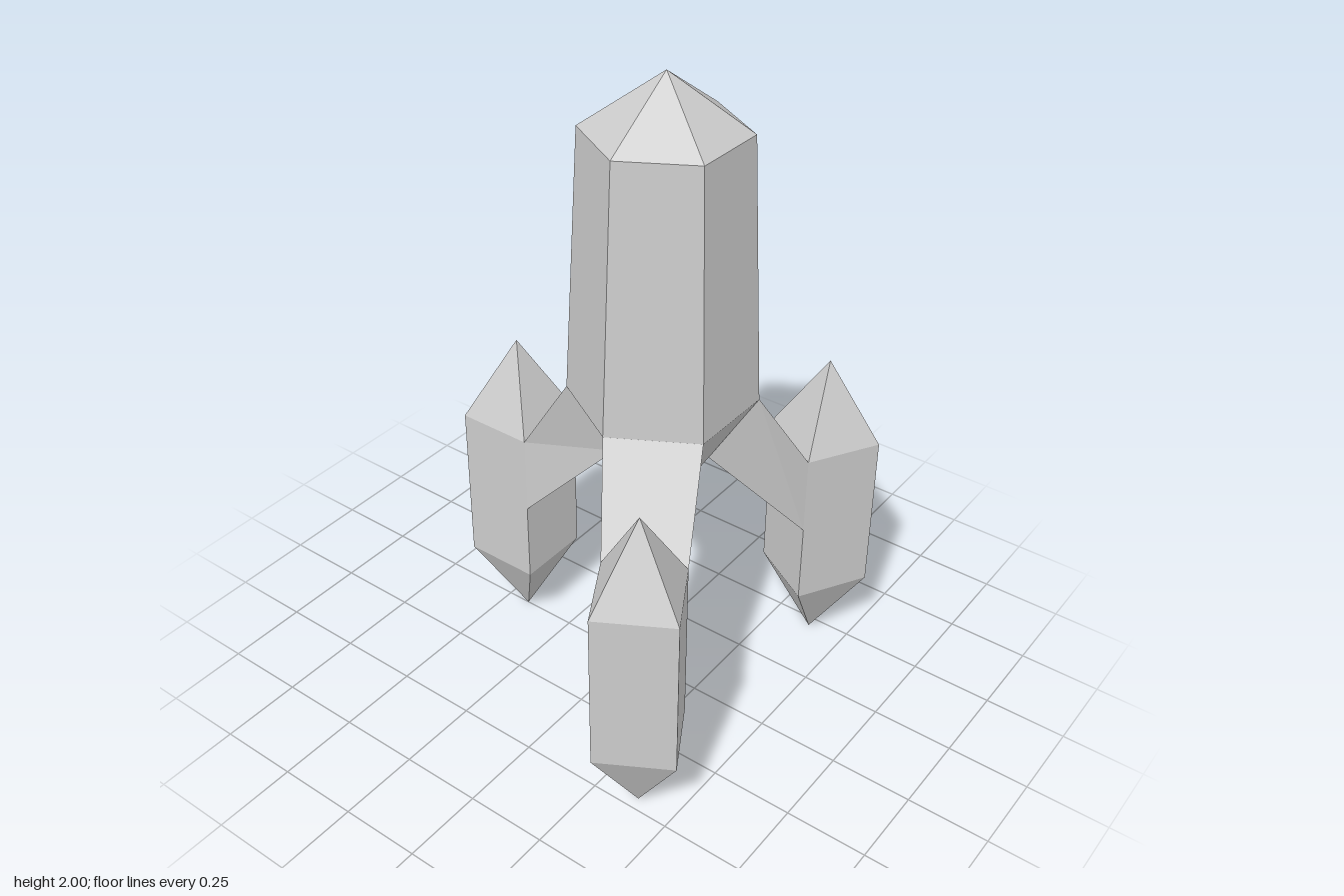
import * as THREE from 'three';

const material = new THREE.MeshStandardMaterial({ color: 0xcccccc, flatShading: true });

function addMesh(parent, name, geometry) {
  const mesh = new THREE.Mesh(geometry, material);
  mesh.name = name;
  parent.add(mesh);
  return mesh;
}

// Straight-sided prism section between two heights, with one flat side facing +z
function section(sides, rBottom, rTop, y0, y1) {
  return new THREE.CylinderGeometry(rTop, rBottom, y1 - y0, sides, 1, true)
    .rotateY(Math.PI / sides)
    .translate(0, (y0 + y1) / 2, 0);
}

// Loft between two four-cornered rings
function strutGeometry(inner, outer) {
  const index = [];
  for (let k = 0; k < 4; k++) {
    const n = (k + 1) % 4;
    index.push(k, k + 4, n, k + 4, n + 4, n);
  }
  const geometry = new THREE.BufferGeometry();
  geometry.setAttribute('position', new THREE.Float32BufferAttribute([...inner, ...outer].flat(), 3));
  geometry.setIndex(index);
  const flat = geometry.toNonIndexed();
  flat.computeVertexNormals();
  return flat;
}

// Four corners of a ring: top left, top right, bottom right, bottom left
const ring = (wTop, yTop, zTop, wBottom, yBottom, zBottom) => [
  [-wTop, yTop, zTop], [wTop, yTop, zTop],
  [wBottom, yBottom, zBottom], [-wBottom, yBottom, zBottom],
];

function createLeg(name, angle) {
  const leg = new THREE.Group();
  leg.name = name;

  // Slanted strut from the hull to the pod
  const inner = ring(0.135, 1.05, 0.234, 0.0675, 0.84, 0.117);
  const outer = ring(0.118, 0.77, 0.417, 0.118, 0.52, 0.417);
  addMesh(leg, 'strut', strutGeometry(inner, outer));

  // Square pod with pointed ends
  const pod = new THREE.Group();
  pod.name = 'pod';
  pod.position.z = 0.535;
  const r = 0.118 * Math.SQRT2;
  addMesh(pod, 'podBody', section(4, r, r, 0.26, 0.77));
  addMesh(pod, 'podTopPoint', section(4, r, 0, 0.77, 1.025));
  addMesh(pod, 'podBottomPoint', section(4, 0, r, 0.005, 0.26));
  leg.add(pod);

  leg.rotation.y = angle;
  return leg;
}

export function createModel() {
  const model = new THREE.Group();
  model.name = 'rocket';

  const rocket = new THREE.Group();
  rocket.name = 'rocketAssembly';
  rocket.position.z = 0.112;
  model.add(rocket);

  // Six-sided hull, nose and tail
  addMesh(rocket, 'hull', section(6, 0.27, 0.229, 1.05, 1.84));
  addMesh(rocket, 'nose', section(6, 0.229, 0, 1.84, 2));
  addMesh(rocket, 'tailCone', section(6, 0, 0.27, 0.63, 1.05));

  // Three legs, evenly spaced
  rocket.add(createLeg('leftLeg', Math.PI / 3));
  rocket.add(createLeg('rightLeg', -Math.PI / 3));
  rocket.add(createLeg('backLeg', Math.PI));

  return model;
}
